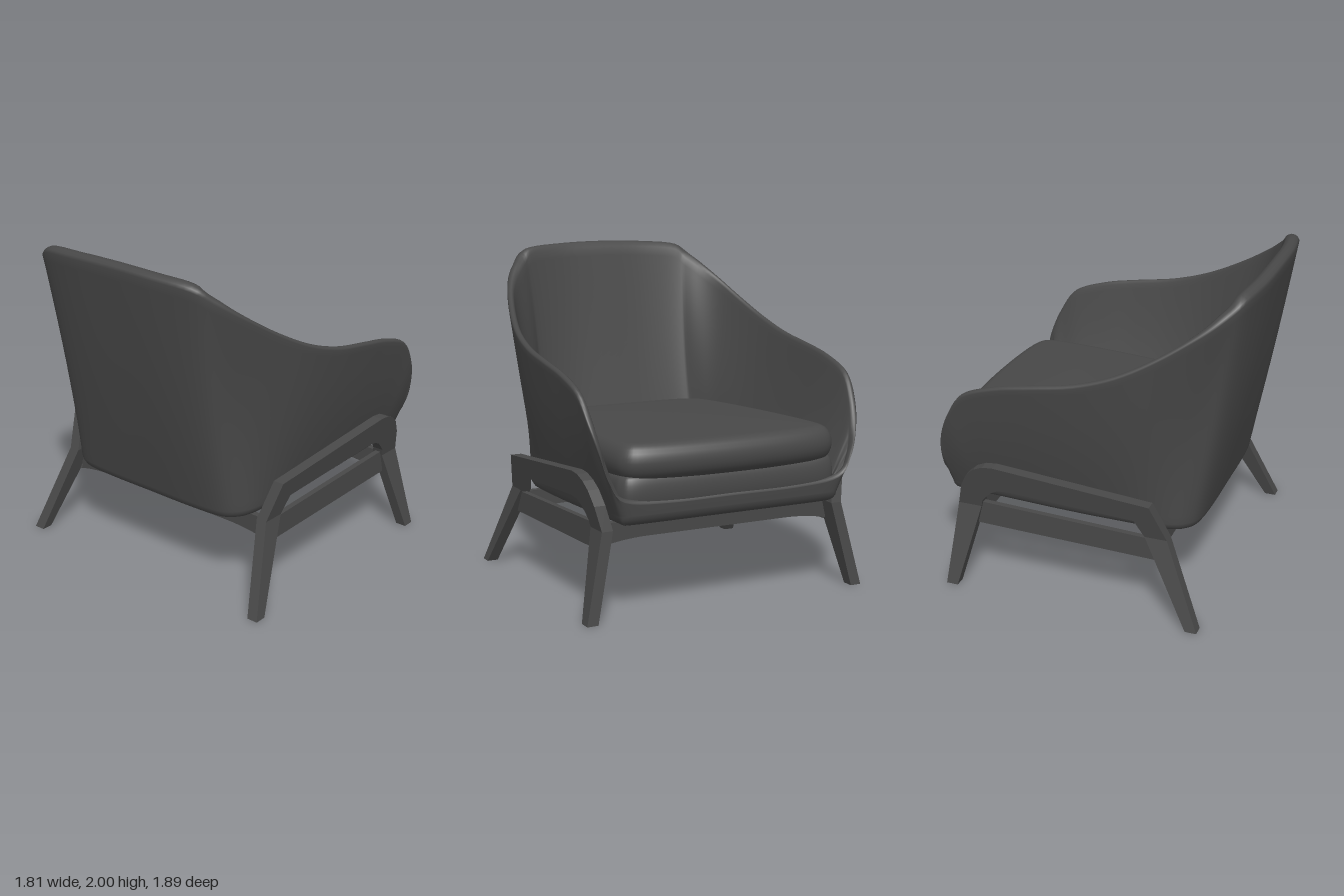
import * as THREE from 'three';

const fabric = new THREE.MeshStandardMaterial({ color: 0x484848 });
const frame = new THREE.MeshStandardMaterial({ color: 0x484848, flatShading: true });
const V = (x, y, z) => new THREE.Vector3(x, y, z);
const { lerp, smoothstep } = THREE.MathUtils;

// Joins rings of equal length into a skin; faces point outward for rings that run
// back -> left -> front -> right and rise.
function skin(rings) {
  const n = rings[0].length, pos = [], idx = [];
  rings.forEach(r => r.forEach(p => pos.push(p.x, p.y, p.z)));
  for (let r = 0; r < rings.length - 1; r++) {
    for (let i = 0; i < n; i++) {
      const j = (i + 1) % n, a = r * n + i, b = r * n + j;
      idx.push(a, b, b + n, a, b + n, a + n);
    }
  }
  const g = new THREE.BufferGeometry();
  g.setAttribute('position', new THREE.Float32BufferAttribute(pos, 3));
  g.setIndex(idx);
  g.computeVertexNormals();
  return g;
}

// Closed symmetric curve from its left half (back centre to front centre)
function loop(half, count) {
  const right = half.slice(1, -1).reverse().map(([x, y, z]) => [-x, y, z]);
  const curve = new THREE.CatmullRomCurve3(
    [...half, ...right].map(p => V(...p)), true, 'catmullrom', 0.5);
  return Array.from({ length: count }, (_, i) => curve.getPoint(i / count));
}

// Moves each point i of a ring inward in plan by d(i), and up by dy(i)
function inset(ring, d, dy = () => 0) {
  const n = ring.length;
  return ring.map((p, i) => {
    const t = ring[(i + 1) % n].clone().sub(ring[(i + n - 1) % n]);
    const k = d(i) / (Math.hypot(t.x, t.z) || 1);
    return V(p.x + t.z * k, p.y + dy(i), p.z - t.x * k);
  });
}

function add(parent, name, geometry, material) {
  const m = new THREE.Mesh(geometry, material);
  m.name = name;
  parent.add(m);
  return m;
}

// Upholstered bucket: outer skin, rolled rim, inner skin and floor in one surface
function shellGeometry() {
  const N = 160;
  const rim = loop([
    [0, 2, .945], [.3, 1.992, .935], [.55, 1.968, .89], [.655, 1.89, .805], [.737, 1.79, .68],
    [.815, 1.65, .47], [.87, 1.53, .24], [.893, 1.45, 0], [.9, 1.405, -.25], [.897, 1.36, -.48],
    [.89, 1.28, -.69], [.87, 1.13, -.8], [.835, .98, -.862], [.79, .83, -.885],
    [.7, .71, -.892], [.42, .68, -.894], [0, .68, -.894]], N);
  const floorY = z => .508 - z * .037;
  const base = loop([
    [0, .66], [.3, .66], [.52, .645], [.62, .59], [.67, .5], [.69, .36], [.7, .2], [.71, 0],
    [.715, -.22], [.715, -.42], [.715, -.6], [.715, -.73], [.715, -.82], [.695, -.87],
    [.61, -.885], [.38, -.888], [0, -.888]].map(([x, z]) => [x, floorY(z) + .06, z]), N);

  // The back is padded thicker and rounder towards its top edge
  const back = rim.map(p => smoothstep(p.z, .55, .92));
  const thick = (i, s) => .04 + .03 * s + .05 * (1 - s) * back[i];
  const roll = i => .02 + .014 * back[i];
  rim.forEach((p, i) => { p.y -= roll(i); });

  // Sides swell slightly, the rear corners draw in at mid height
  const swell = base.map((p, i) => {
    const u = Math.min(i, N - i) / N;
    return .016 * smoothstep(p.z, -.9, -.7) - .05 * Math.exp(-(((u - .11) / .045) ** 2));
  });
  const at = ts => {
    const ring = base.map((p, i) => p.clone().lerp(rim[i], ts(i)));
    return inset(ring, i => -swell[i] * Math.sin(Math.PI * ts(i)));
  };

  const rings = [base.map(() => V(0, floorY(-.1), -.1))];
  for (const [d, dy] of [[.075, -.06], [.05, -.058], [.02, -.042], [.005, -.02]]) {
    rings.push(inset(base, () => d, () => dy));
  }
  for (let k = 0; k <= 24; k++) rings.push(at(() => k / 24));
  for (const [f, h] of [[.1, .5], [.3, .87], [.55, 1], [.82, .75]]) {
    rings.push(inset(rim, i => f * thick(i, 0), i => h * roll(i)));
  }
  const deck = z => .6 - z * .02;
  for (let k = 0; k <= 24; k++) {
    const s = k / 24;
    const ring = at(i =>
      (lerp(rim[i].y, deck(base[i].z), s) - base[i].y) / (rim[i].y - base[i].y));
    rings.push(inset(ring, i => thick(i, s)));
  }
  rings.push(base.map(() => V(0, deck(-.1), -.1)));
  return skin(rings);
}

// Pad with a rounded edge and a crowned top, tilted by slope along z
function padGeometry(half, { y, height, round, crown, slope }) {
  const outline = loop(half.map(([x, z]) => [x, 0, z]), 120);
  const h = height / 2;
  const rings = [outline.map(() => V(0, -h, -.15))];
  for (let k = 0; k <= 12; k++) {
    const a = -Math.PI / 2 + Math.PI * k / 12;
    rings.push(inset(outline, () => round * (1 - Math.cos(a)), () => h * Math.sin(a)));
  }
  const edge = rings[rings.length - 1];
  for (const s of [.25, .5, .75, 1]) {
    rings.push(edge.map(p =>
      p.clone().lerp(V(0, 0, -.15), s).setY(h + crown * Math.sin(s * Math.PI / 2))));
  }
  return skin(rings.map(r => r.map(p => V(p.x, p.y + y - p.z * slope, p.z))));
}

// Side frame: rear leg, arm bar and front leg as one bent board.
// Stations are [outer z, outer y, inner z, inner y].
function sideFrameGeometry() {
  const stations = [
    [.75, 0, .68, 0], [.526, .51, .39, .51], [.43, .73, .33, .615], [-.53, .815, -.45, .655],
    [-.6, .808, -.52, .648], [-.66, .78, -.565, .625], [-.71, .735, -.6, .59],
    [-.755, .65, -.63, .555], [-.79, .51, -.642, .51], [-.842, 0, -.77, 0]];
  const lean = y => y < .51 ? .872 - .117 * y / .51 : .755 + .06 * (y - .51) / .29;
  const h = .034;
  const rings = stations.map(([oz, oy, iz, iy]) => [
    V(lean(oy) - h, oy, oz), V(lean(oy) + h, oy, oz), V(lean(iy) + h, iy, iz), V(lean(iy) - h, iy, iz)]);
  const mid = r => r.map(() => r[0].clone().add(r[2]).multiplyScalar(.5));
  return skin([mid(rings[0]), ...rings, mid(rings[rings.length - 1])]);
}

// Cross rail with a shallow arched underside
function railGeometry(top) {
  const s = new THREE.Shape();
  s.moveTo(-.74, top);
  s.lineTo(-.76, top - .135);
  s.quadraticCurveTo(-.62, top - .1, -.45, top - .1);
  s.lineTo(.45, top - .1);
  s.quadraticCurveTo(.62, top - .1, .76, top - .135);
  s.lineTo(.74, top);
  return new THREE.ExtrudeGeometry(s, { depth: .04, bevelEnabled: false, curveSegments: 8 });
}

export function createModel() {
  const chair = new THREE.Group();
  chair.name = 'armchair';
  add(chair, 'shell', shellGeometry(), fabric);
  add(chair, 'seatBase', padGeometry([
    [0, .6], [.3, .595], [.47, .55], [.57, .43], [.64, .1], [.68, -.35], [.7, -.7],
    [.695, -.82], [.62, -.88], [.35, -.892], [0, -.892]],
  { y: .7, height: .2, round: .035, crown: 0, slope: .02 }), fabric);
  add(chair, 'seatCushion', padGeometry([
    [0, .605], [.3, .6], [.47, .565], [.56, .49], [.605, .36], [.65, .1], [.685, -.2],
    [.706, -.5], [.708, -.72], [.68, -.84], [.59, -.9], [.35, -.935], [0, -.948]],
  { y: .88, height: .21, round: .085, crown: .03, slope: .015 }), fabric);

  const base = new THREE.Group();
  base.name = 'base';
  chair.add(base);
  const board = sideFrameGeometry();
  for (const side of [1, -1]) {
    const name = side > 0 ? 'left' : 'right';
    const g = board.clone();
    if (side < 0) { // mirror across x and turn the faces back outward
      g.scale(-1, 1, 1);
      g.setIndex(Array.from(board.index.array).reverse());
    }
    add(base, name + 'SideFrame', g, frame);

    // Side rail between the legs, standing clear of the shell
    const s = new THREE.Shape([[-.48, .36], [.67, .39], [.655, .535], [-.43, .495]]
      .map(p => new THREE.Vector2(...p)));
    const rail = new THREE.ExtrudeGeometry(s, { depth: .035, bevelEnabled: false });
    rail.rotateY(Math.PI / 2).translate(side * .76 - .0175, 0, 0);
    add(base, name + 'SideRail', rail, frame);
  }
  add(base, 'backRail', railGeometry(.49), frame).position.z = .43;
  add(base, 'frontRail', railGeometry(.53), frame).position.z = -.69;
  return chair;
}
